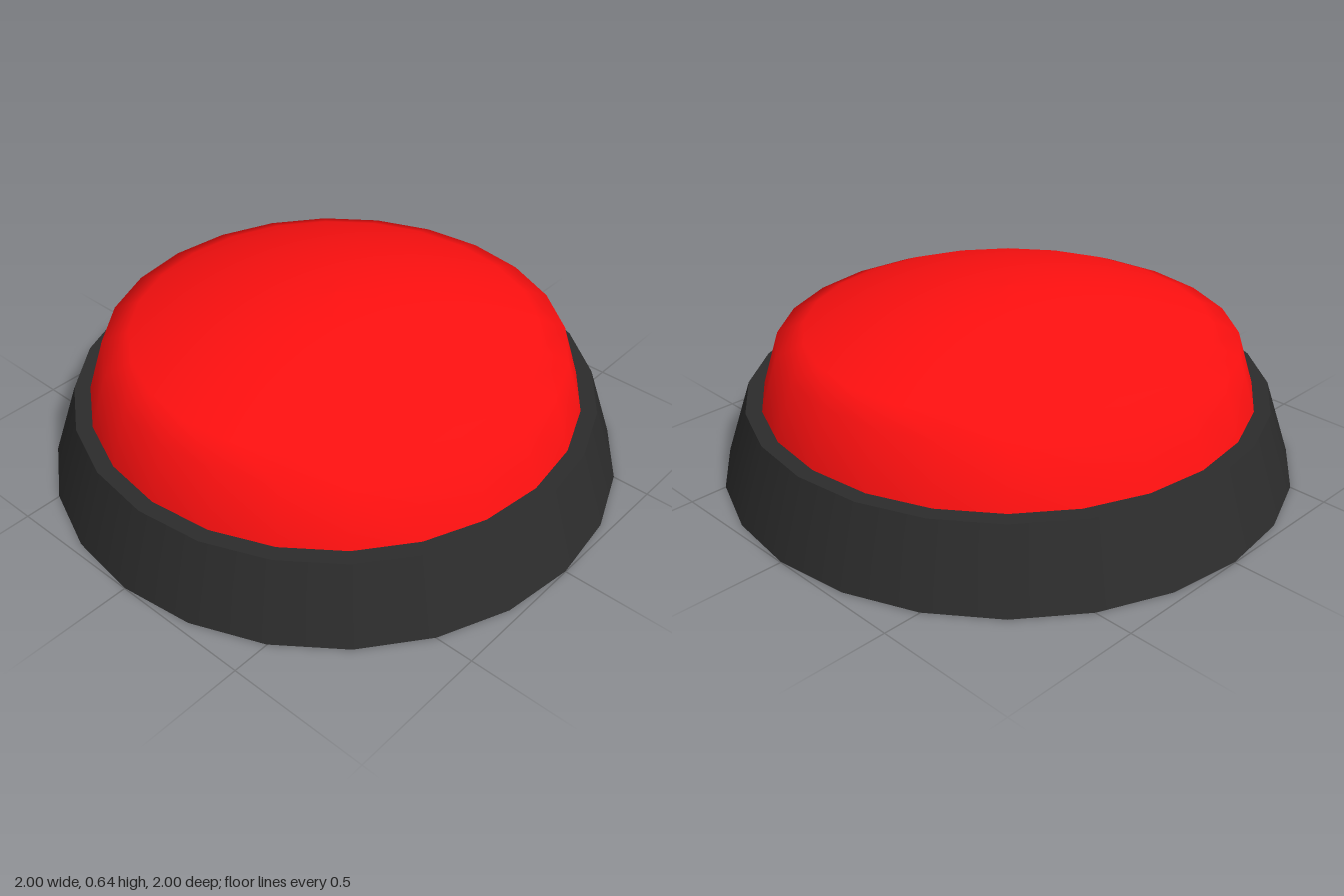
import * as THREE from 'three';

const SIDES = 24;

export function createModel() {
  const model = new THREE.Group();
  const add = (name, geometry, color) => {
    const mesh = new THREE.Mesh(geometry, new THREE.MeshStandardMaterial({ color }));
    mesh.name = name;
    model.add(mesh);
    return mesh;
  };

  // Tapered housing with a flat rim and underside
  const baseHeight = 0.27;
  const base = add('base', new THREE.CylinderGeometry(0.91, 1, baseHeight, SIDES), 0x2c2c2c);
  base.position.y = baseHeight / 2 + 0.002;

  // Push button: sloping wall, then a shallow spherical cap
  const rim = 0.795, rimY = 0.465, topY = 0.64, rise = topY - rimY;
  const radius = (rim * rim + rise * rise) / (2 * rise);
  const capAngle = Math.asin(rim / radius);
  const profile = [new THREE.Vector2(0.855, baseHeight)];
  const rings = 8;
  for (let i = rings; i >= 0; i--) {
    const a = (capAngle * i) / rings;
    profile.push(new THREE.Vector2(radius * Math.sin(a), topY - radius * (1 - Math.cos(a))));
  }
  add('button', new THREE.LatheGeometry(profile, SIDES), 0xff1010);

  // Battery cover set flush in the underside
  const cover = add('batteryCover', new THREE.PlaneGeometry(0.68, 1.155), 0xa0a0a0);
  cover.rotation.x = Math.PI / 2;
  cover.position.set(0.06, 0, -0.01);

  return model;
}
